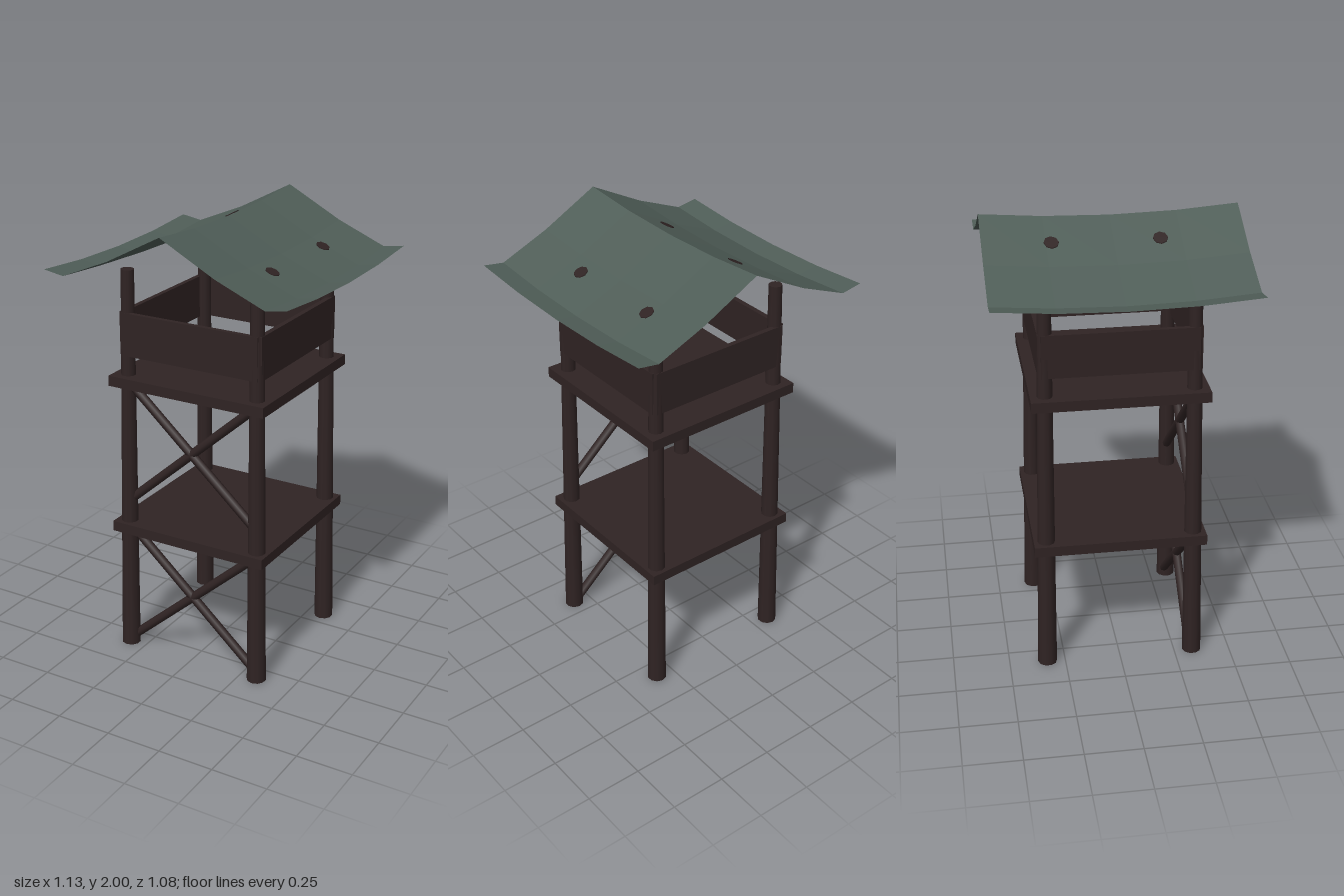
import * as THREE from 'three';

const wood = new THREE.MeshStandardMaterial({ color: 0x2f2323 });
wood.name = 'dark wood';
const sheet = new THREE.MeshStandardMaterial({ color: 0x4f5d57, side: THREE.DoubleSide, flatShading: true });
sheet.name = 'grey green roofing';

// Roof cross-section (x, y) and the sag of the sheet along z
const profile = [[-0.565, 1.793], [-0.47, 1.778], [-0.25, 1.869], [0, 2], [0.25, 1.869], [0.47, 1.778], [0.565, 1.793]];
const sag = [[-0.542, 0], [-0.28, -0.02], [0, -0.027], [0.28, -0.02], [0.542, 0]];

function interpolate(points, t) {
  let i = 0;
  while (i < points.length - 2 && t > points[i + 1][0]) i++;
  const [a, b] = [points[i], points[i + 1]];
  return a[1] + (b[1] - a[1]) * (t - a[0]) / (b[0] - a[0]);
}
const roofY = (x, z) => interpolate(profile, x) + interpolate(sag, z);

function add(parent, name, geometry, material, x = 0, y = 0, z = 0) {
  const mesh = new THREE.Mesh(geometry, material);
  mesh.name = name;
  mesh.position.set(x, y, z);
  parent.add(mesh);
  return mesh;
}

// Round timber between two points, with its own radius at each end
function addRod(parent, name, from, to, r0, r1, sides) {
  const a = new THREE.Vector3(...from), b = new THREE.Vector3(...to);
  const dir = b.clone().sub(a);
  const mid = a.clone().add(b).multiplyScalar(0.5);
  const rod = add(parent, name, new THREE.CylinderGeometry(r1, r0, dir.length(), sides), wood, mid.x, mid.y, mid.z);
  rod.quaternion.setFromUnitVectors(new THREE.Vector3(0, 1, 0), dir.normalize());
}

function roofGeometry() {
  const geometry = new THREE.PlaneGeometry(1, 1, profile.length - 1, sag.length - 1);
  const p = geometry.attributes.position;
  for (let i = 0; i < p.count; i++) {
    const [x, y] = profile[i % profile.length];
    const [z, dip] = sag[Math.floor(i / profile.length)];
    p.setXYZ(i, x, y + dip, z);
  }
  geometry.computeVertexNormals();
  return geometry;
}

// Thin plug that follows the slope of the roof
function plugGeometry(cx, cz) {
  const geometry = new THREE.CylinderGeometry(0.031, 0.031, 0.008, 8);
  const p = geometry.attributes.position;
  for (let i = 0; i < p.count; i++) {
    const x = cx + p.getX(i) * 0.92, z = cz + p.getZ(i);
    p.setXYZ(i, x, roofY(x, z) + p.getY(i), z);
  }
  geometry.computeVertexNormals();
  return geometry;
}

export function createModel() {
  const tower = new THREE.Group();
  tower.name = 'watchtower';

  // Four leaning, tapered corner posts
  for (const sx of [-1, 1]) {
    for (const sz of [-1, 1]) {
      addRod(tower, 'cornerPost', [sx * 0.33, 0, sz * 0.33], [sx * 0.31, 1.775, sz * 0.31], 0.043, 0.029, 10);
    }
  }

  // Two square decks
  for (const [name, y] of [['lowerDeck', 0.598], ['upperDeck', 1.287]]) {
    add(tower, name, new THREE.BoxGeometry(0.755, 0.046, 0.755), wood, 0, y, 0);
  }

  // Crossed braces on the front
  for (const [name, y] of [['lowerBrace', 0.312], ['upperBrace', 1.002]]) {
    for (const s of [-1, 1]) {
      addRod(tower, name, [-0.32, y - s * 0.284, 0.318], [0.32, y + s * 0.284, 0.318], 0.02, 0.02, 8);
    }
  }

  // Parapet boards on all four sides
  const parapet = new THREE.Group();
  parapet.name = 'parapet';
  tower.add(parapet);
  for (const s of [-1, 1]) {
    add(parapet, 'parapetBoard', new THREE.BoxGeometry(0.66, 0.19, 0.022), wood, 0, 1.495, s * 0.332);
    add(parapet, 'parapetBoard', new THREE.BoxGeometry(0.022, 0.19, 0.66), wood, s * 0.332, 1.495, 0);
  }

  // Sagging roof sheet with upturned eaves, and its four plugs
  add(tower, 'roof', roofGeometry(), sheet);
  for (const x of [-0.135, 0.313]) {
    for (const z of [-0.257, 0.192]) add(tower, 'roofPlug', plugGeometry(x, z), wood);
  }

  return tower;
}
